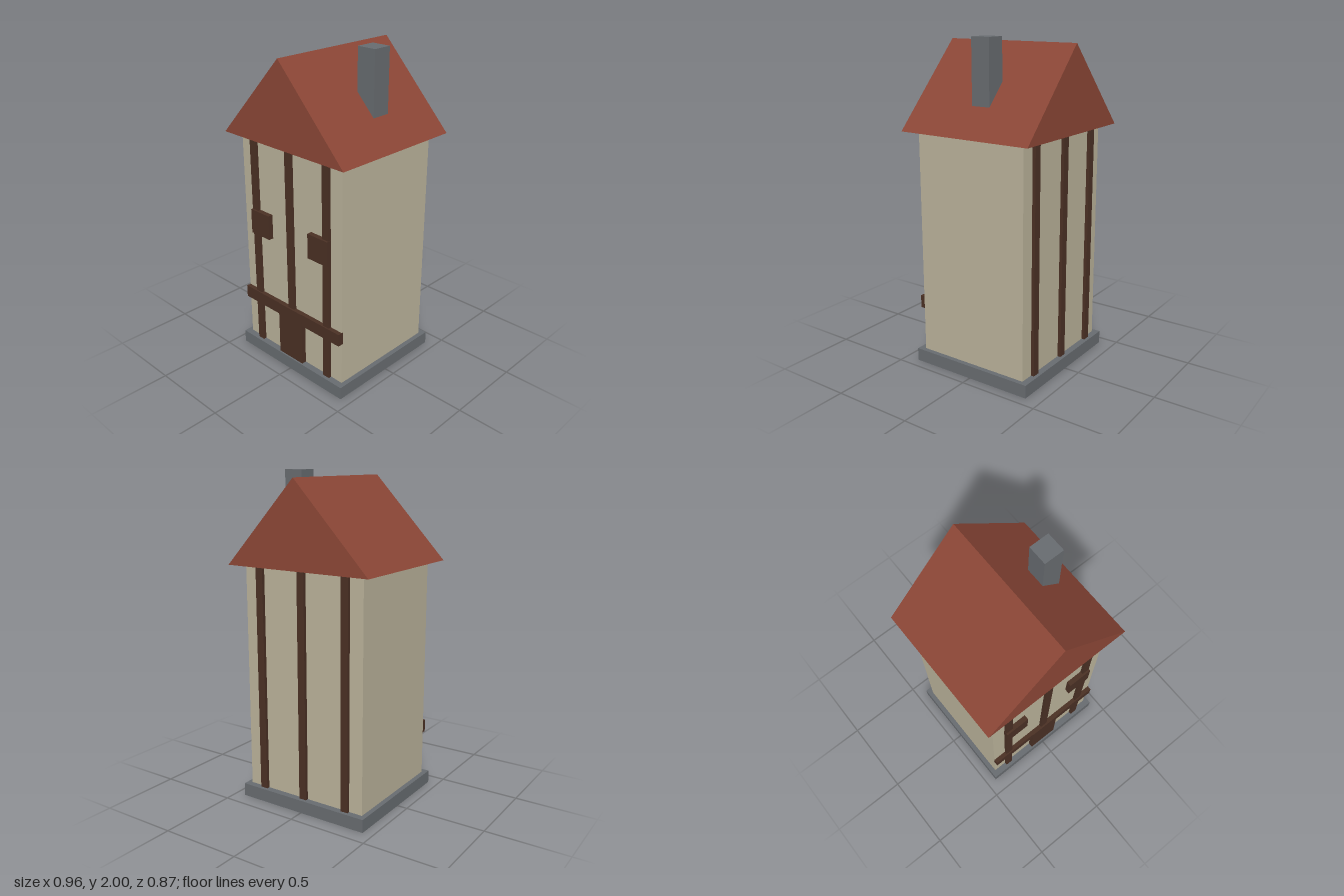
import * as THREE from 'three';

export function createModel() {
  const model = new THREE.Group();
  model.name = 'timberHouse';

  const material = (name, color) => {
    const m = new THREE.MeshStandardMaterial({ color });
    m.name = name;
    return m;
  };
  const stone = material('stone grey', 0x676b6f);
  const plaster = material('plaster beige', 0xb9b199);
  const timber = material('dark timber', 0x4a3024);
  const tile = material('roof red', 0x8b4636);

  // Box given by its extents on each axis
  const block = (name, mat, [x0, x1], [y0, y1], [z0, z1]) => {
    const mesh = new THREE.Mesh(new THREE.BoxGeometry(x1 - x0, y1 - y0, z1 - z0), mat);
    mesh.position.set((x0 + x1) / 2, (y0 + y1) / 2, (z0 + z1) / 2);
    mesh.name = name;
    model.add(mesh);
  };

  // Stone base and plastered walls
  block('base', stone, [-0.436, 0.436], [0, 0.08], [-0.405, 0.409]);
  block('walls', plaster, [-0.406, 0.406], [0.08, 1.46], [-0.364, 0.368]);

  // Upright beams, front and back
  for (const x of [-0.295, 0, 0.295]) {
    block('frontPost', timber, [x - 0.024, x + 0.024], [0.08, 1.46], [0.36, 0.388]);
    block('backPost', timber, [x - 0.024, x + 0.024], [0.08, 1.46], [-0.384, -0.356]);
  }

  // Cross beam, door and shutters
  block('crossBeam', timber, [-0.406, 0.406], [0.352, 0.43], [0.36, 0.396]);
  block('door', timber, [-0.1, 0.1], [0.08, 0.43], [0.36, 0.399]);
  for (const s of [-1, 1]) {
    const x = s * 0.243;
    block('shutter', timber, [x - 0.078, x + 0.078], [0.84, 0.995], [0.36, 0.4]);
  }

  // Gabled roof
  const gable = new THREE.Shape();
  gable.moveTo(-0.478, 1.46);
  gable.lineTo(0.478, 1.46);
  gable.lineTo(0, 1.965);
  gable.closePath();
  const roof = new THREE.Mesh(
    new THREE.ExtrudeGeometry(gable, { depth: 0.874, bevelEnabled: false }), tile);
  roof.position.z = -0.437;
  roof.name = 'roof';
  model.add(roof);

  // Chimney on the left roof slope
  block('chimney', stone, [0.203, 0.325], [1.5, 2], [-0.082, 0.038]);

  return model;
}
